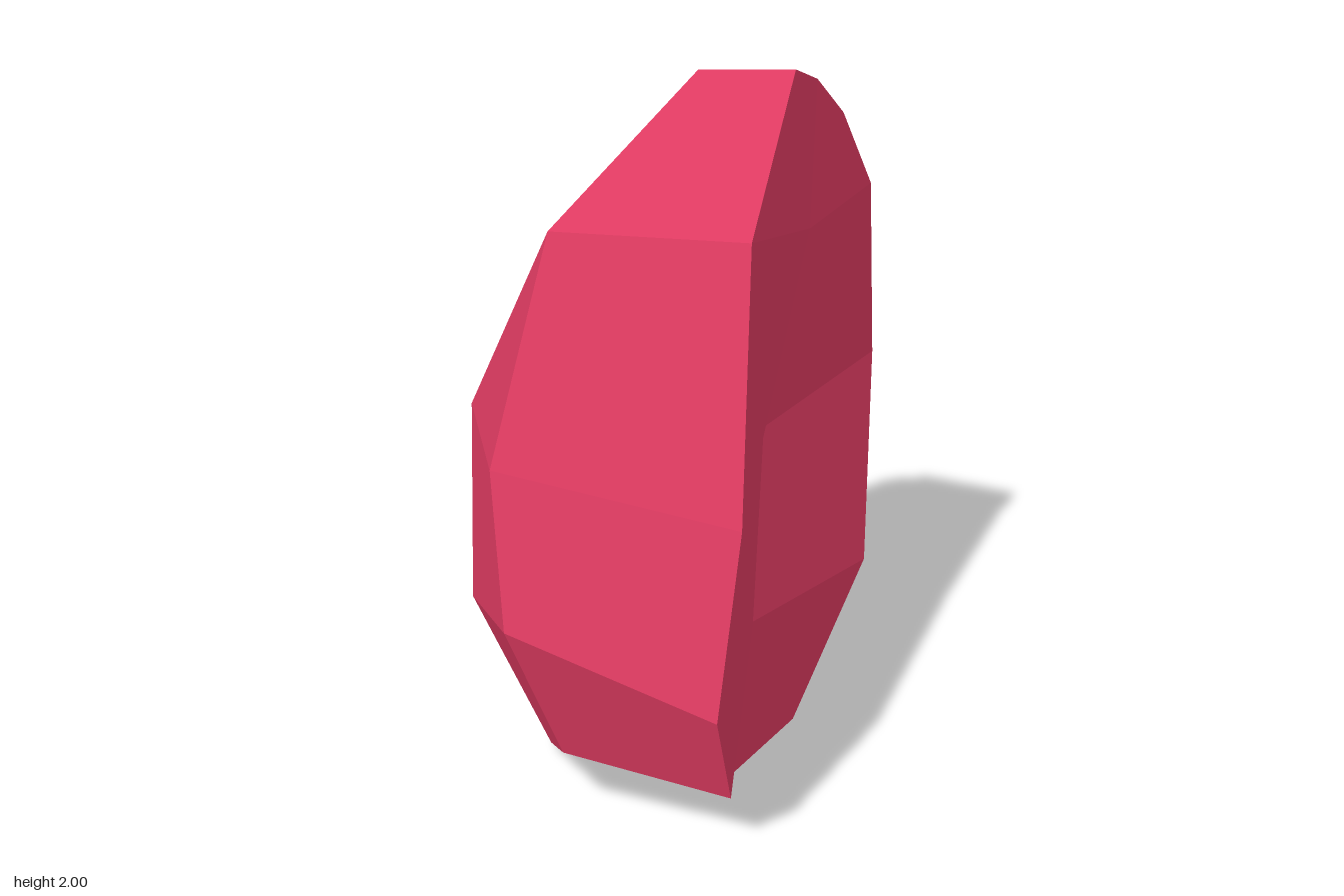
import * as THREE from 'three';

// Cross-section loops from top to bottom. Each runs counter-clockwise from above:
// left front, right front, right middle, right back, left back, left middle.
const RINGS = [
  [[0.075, 1.98, -0.25], [0.355, 2.0, -0.25], [0.39, 1.95, -0.37], [0.435, 1.82, -0.53], [0.075, 1.88, -0.53], [0.075, 1.93, -0.39]],
  [[-0.21, 1.62, 0.21], [0.365, 1.65, 0.235], [0.41, 1.55, -0.25], [0.495, 1.57, -0.69], [-0.02, 1.66, -0.63], [-0.21, 1.61, -0.24]],
  [[-0.33, 0.97, 0.385], [0.45, 1.0, 0.6], [0.34, 1.01, -0.05], [0.525, 1.03, -0.69], [-0.13, 1.06, -0.745], [-0.563, 0.97, -0.05]],
  [[-0.235, 0.56, 0.55], [0.432, 0.51, 0.745], [0.365, 0.47, 0.12], [0.563, 0.39, -0.52], [-0.16, 0.29, -0.545], [-0.51, 0.41, 0.12]],
  [[-0.06, 0.22, 0.57], [0.43, 0.175, 0.58], [0.35, 0.04, 0.27], [0.435, 0.0, -0.14], [-0.1, 0.05, -0.12], [-0.21, 0.04, 0.27]],
];

function facetedSolid(rings) {
  const positions = [], normals = [];

  // Four-cornered facet, split from b to d and shaded as one flat face
  function quad(...corners) {
    const [a, b, c, d] = corners.map((p) => new THREE.Vector3(...p));
    const normal = c.clone().sub(a).cross(d.clone().sub(b)).normalize();
    for (const p of [a, b, d, b, c, d]) {
      positions.push(...p);
      normals.push(...normal);
    }
  }

  // Side facets between neighbouring loops
  for (let r = 0; r < rings.length - 1; r++) {
    const upper = rings[r], lower = rings[r + 1], n = upper.length;
    for (let i = 0; i < n; i++) {
      const j = (i + 1) % n;
      quad(upper[i], lower[i], lower[j], upper[j]);
    }
  }

  // Two facets close each end
  const top = rings[0], bottom = rings[rings.length - 1];
  quad(top[1], top[2], top[5], top[0]);
  quad(top[2], top[3], top[4], top[5]);
  quad(bottom[0], bottom[5], bottom[2], bottom[1]);
  quad(bottom[5], bottom[4], bottom[3], bottom[2]);

  const geometry = new THREE.BufferGeometry();
  geometry.setAttribute('position', new THREE.Float32BufferAttribute(positions, 3));
  geometry.setAttribute('normal', new THREE.Float32BufferAttribute(normals, 3));
  return geometry;
}

export function createModel() {
  const crimson = new THREE.MeshStandardMaterial({ color: 0xdc3a60 });
  crimson.name = 'crimson';

  const stone = new THREE.Mesh(facetedSolid(RINGS), crimson);
  stone.name = 'facetedStone';

  const model = new THREE.Group();
  model.name = 'stone';
  model.add(stone);
  return model;
}
